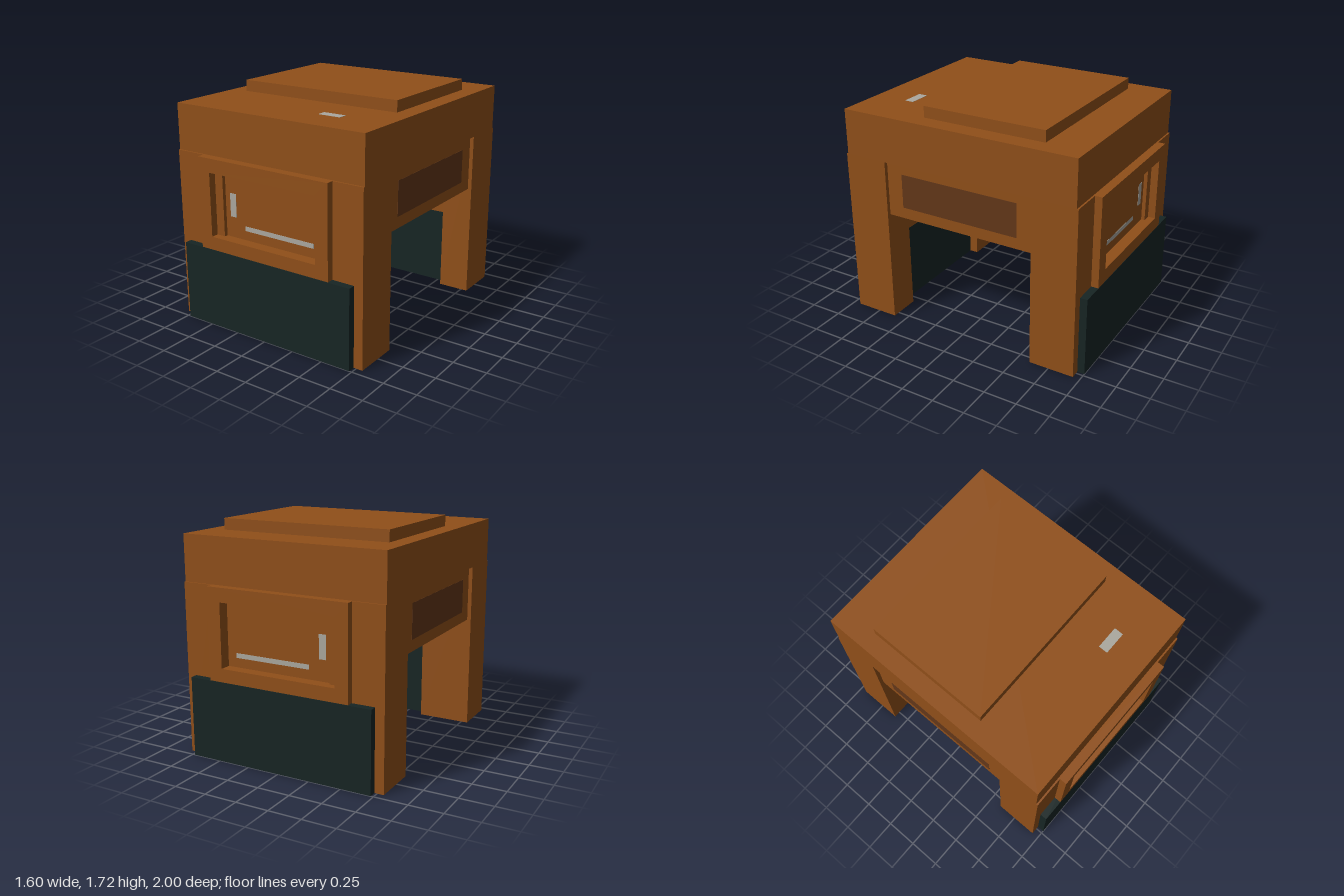
import * as THREE from 'three';

const make = (name, color) => {
  const m = new THREE.MeshStandardMaterial({ color, side: THREE.DoubleSide });
  m.name = name;
  return m;
};

export function createModel() {
  const brown = make('brown', 0x904f19);
  const slate = make('dark slate', 0x172524);
  const glass = make('dark brown window', 0x633719);
  const pale = make('pale grey', 0xaba89f);
  const model = new THREE.Group();
  model.name = 'openSidedCabin';

  const add = (name, geometry, material) => {
    const mesh = new THREE.Mesh(geometry, material);
    mesh.name = name;
    model.add(mesh);
  };

  // Box given by its limits; limits may come in either order
  const box = (name, mat, x0, x1, y0, y1, z0, z1, openBottom = false) => {
    const g = new THREE.BoxGeometry(Math.abs(x1 - x0), y1 - y0, Math.abs(z1 - z0));
    if (openBottom) {
      const index = Array.from(g.index.array);
      index.splice(18, 6); // drop the underside
      g.setIndex(index);
      g.clearGroups();
    }
    g.translate((x0 + x1) / 2, (y0 + y1) / 2, (z0 + z1) / 2);
    add(name, g, mat);
  };

  // Roof block, hatch and its marker, ceiling
  box('roof', brown, -0.8, 0.8, 1.29, 1.635, -0.932, 0.932);
  box('roofHatch', brown, -0.668, 0.665, 1.635, 1.72, -0.63, 0.33);
  box('roofMarker', pale, 0.253, 0.43, 1.634, 1.6365, 0.6, 0.67);
  box('ceiling', brown, -0.64, 0.64, 1.21, 1.29, -0.67, 0.67);

  // Raised frame outline with its rectangular opening
  const rect = (C, x0, x1, y0, y1) => {
    const p = new C();
    p.moveTo(x0, y0);
    p.lineTo(x1, y0);
    p.lineTo(x1, y1);
    p.lineTo(x0, y1);
    p.closePath();
    return p;
  };
  const frame = rect(THREE.Shape, -0.56, 0.56, 0.605, 1.29);
  frame.holes.push(rect(THREE.Path, -0.46, 0.455, 0.705, 1.185));

  // Front and back walls mirror each other
  for (const [end, s] of [['front', 1], ['back', -1]]) {
    box(end + 'Wall', brown, -0.56, 0.56, 0.603, 1.29, s * 0.67, s * 0.915, true);
    const g = new THREE.ExtrudeGeometry(frame, { depth: 0.085, bevelEnabled: false });
    g.translate(0, 0, s > 0 ? 0.915 : -1);
    add(end + 'Frame', g, brown);

    // Shallow strip down one side of the recess, and painted markers
    box(end + 'RecessStrip', brown, -0.46, -0.39, 0.705, 1.185, s * 0.915, s * 0.943);
    box(end + 'UprightMarker', pale, -0.347, -0.293, 0.86, 1.035, s * 0.914, s * 0.917);
    box(end + 'LevelMarker', pale, -0.215, 0.385, 0.775, 0.81, s * 0.914, s * 0.917);

    // Dark skirt, open below, running through the hollow legs
    box(end + 'Skirt', slate, -0.73, 0.73, 0, 0.603, s * 0.67, s, true);

    // Hollow corner legs, wider on the right side
    box(end + 'LeftLeg', brown, 0.56, 0.8, 0, 1.29, s * 0.6, s * 0.945, true);
    box(end + 'RightLeg', brown, -0.8, -0.39, 0, 1.29, s * 0.6, s * 0.914, true);
    box(end + 'RightLegFace', brown, -0.8, -0.56, 0, 1.29, s * 0.914, s * 0.945, true);
  }

  // Recessed side panels with windows
  for (const [side, t] of [['left', 1], ['right', -1]]) {
    box(side + 'Panel', brown, t * 0.64, t * 0.77, 0.865, 1.29, -0.6, 0.6);
    box(side + 'Window', glass, t * 0.769, t * 0.772, 0.95, 1.21, -0.475, 0.475);
  }
  return model;
}
